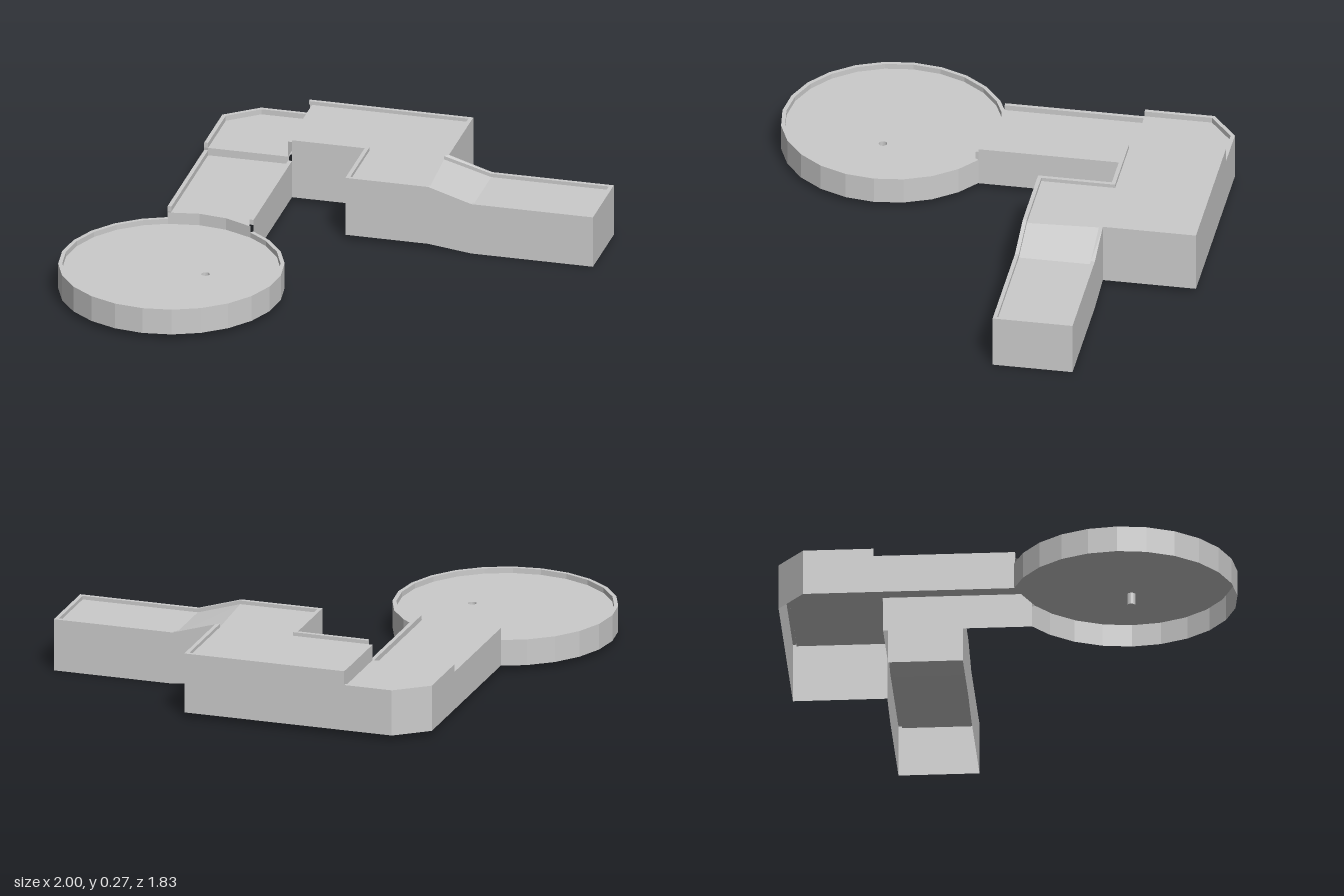
import * as THREE from 'three';

const WALL = 0.016;
const material = new THREE.MeshStandardMaterial({ color: 0xcccccc, flatShading: true, side: THREE.DoubleSide });

function surface(name, quads) {
  const pos = [];
  for (const [a, b, c, d] of quads) pos.push(...a, ...c, ...b, ...a, ...d, ...c);
  const geo = new THREE.BufferGeometry();
  geo.setAttribute('position', new THREE.Float32BufferAttribute(pos, 3));
  geo.computeVertexNormals();
  const mesh = new THREE.Mesh(geo, material);
  mesh.name = name;
  return mesh;
}

// Mitred inner edge of an [x, z] path, on the side facing the playing surface
function inset(path, t = WALL) {
  const normal = (a, b) => {
    const dx = b[0] - a[0], dz = b[1] - a[1], l = Math.hypot(dx, dz);
    return [-dz / l, dx / l];
  };
  return path.map((p, i) => {
    const n1 = i > 0 ? normal(path[i - 1], p) : normal(p, path[1]);
    const n2 = i < path.length - 1 ? normal(p, path[i + 1]) : n1;
    const k = t / (1 + n1[0] * n2[0] + n1[1] * n2[1]);
    return [p[0] + (n1[0] + n2[0]) * k, p[1] + (n1[1] + n2[1]) * k];
  });
}

// Outer skirt, rim and inner lip along a path; heights are functions of x
function border(name, path, bottom, top, floor) {
  const inner = inset(path);
  const rows = path.map((o, i) => {
    const q = inner[i], x = o[0];
    return [[x, bottom(x), o[1]], [x, top(x), o[1]], [q[0], top(x), q[1]], [q[0], floor(x), q[1]]];
  });
  const quads = [];
  for (let i = 0; i < rows.length - 1; i++)
    for (let k = 0; k < 3; k++)
      quads.push([rows[i][k], rows[i + 1][k], rows[i + 1][k + 1], rows[i][k + 1]]);
  // end caps
  [0, rows.length - 1].forEach((i) => {
    const [, o, q, f] = rows[i];
    quads.push([[o[0], f[1], o[2]], o, q, f]);
  });
  return surface(name, quads);
}

function floorPanel(name, points, height, hole) {
  const shape = new THREE.Shape(points.map(([x, z]) => new THREE.Vector2(x, -z)));
  if (hole) shape.holes.push(new THREE.Path().absarc(hole.x, -hole.z, hole.r, 0, Math.PI * 2, true));
  const geo = new THREE.ShapeGeometry(shape, 8);
  geo.rotateX(-Math.PI / 2);
  const p = geo.attributes.position;
  for (let i = 0; i < p.count; i++) p.setY(i, height(p.getX(i)));
  geo.computeVertexNormals();
  const mesh = new THREE.Mesh(geo, material);
  mesh.name = name;
  return mesh;
}

// Vertical step face between two floor levels
function riser(name, path, y0, y1) {
  const quads = [];
  for (let i = 0; i < path.length - 1; i++) {
    const [a, b] = [path[i], path[i + 1]];
    quads.push([[a[0], y0, a[1]], [b[0], y0, b[1]], [b[0], y1, b[1]], [a[0], y1, a[1]]]);
  }
  return surface(name, quads);
}

export function createModel() {
  const model = new THREE.Group();
  const level = (y) => () => y;
  const ramp = (a, b) => (x) => a + (b - a) * THREE.MathUtils.clamp((x - 0.32) / 0.18, 0, 1);
  const base = level(0.022);
  const GREEN = 0.108, LANE = 0.158, CORNER = 0.19, HIGH = 0.255;

  // Round green, open where the lane meets it
  const onCircle = (r) => (deg) => {
    const t = THREE.MathUtils.degToRad(deg);
    return [-0.553 + r * Math.cos(t), 0.462 + r * Math.sin(t)];
  };
  const rimAngles = [301.5];
  for (let a = 315; a <= 600; a += 15) rimAngles.push(a);
  rimAngles.push(613.2);
  const mouthAngles = [253.2, 270, 285, 301.5];
  const cup = { x: -0.408, z: 0.48, r: 0.017 };
  const mouth = mouthAngles.map(onCircle(0.434));
  model.add(border('greenRim', rimAngles.map(onCircle(0.45)), base, level(0.13), level(GREEN)));
  const greenEdge = [...inset(rimAngles.map(onCircle(0.45))), ...mouth.slice(1, -1)];
  model.add(floorPanel('greenFloor', greenEdge, level(GREEN), cup));
  model.add(riser('greenStep', mouth, GREEN, LANE));

  // Cup sunk into the green
  const cupMesh = new THREE.Mesh(new THREE.LatheGeometry([
    new THREE.Vector2(0, 0.06), new THREE.Vector2(cup.r, 0.06), new THREE.Vector2(cup.r, GREEN),
  ], 16), material);
  cupMesh.position.set(cup.x, 0, cup.z);
  cupMesh.name = 'cup';
  model.add(cupMesh);

  // Straight lane
  const L = -0.682, R = -0.317;
  model.add(border('laneRightWall', [[R, -0.515], [R, 0.078]], base, level(0.18), level(LANE)));
  model.add(border('laneLeftWall', [[L, 0.035], [L, -0.53]], base, level(0.18), level(LANE)));
  model.add(floorPanel('laneFloor', [
    [L + WALL, -0.53], ...mouth.map(([x, z], i) => [i === 0 ? L + WALL : i === 3 ? R - WALL : x, z]), [R - WALL, -0.53],
  ], level(LANE)));
  model.add(riser('laneStep', [[L + WALL, -0.53], [R - WALL, -0.53]], LANE, CORNER));

  // Corner with a cut edge
  const cornerPath = [[L, -0.53], [L, -0.81], [-0.55, -0.916], [-0.35, -0.916]];
  model.add(border('cornerWall', cornerPath, base, level(0.212), level(CORNER)));
  model.add(floorPanel('cornerFloor', [...inset(cornerPath), [R - WALL, -0.9], [R - WALL, -0.53]], level(CORNER)));
  model.add(riser('cornerStep', [[-0.337, -0.53], [-0.337, -0.9]], CORNER, HIGH));

  // Raised section, ramp and starting lane share one wall
  const highPath = [
    [-0.35, -0.916], [0.322, -0.916], [0.322, -0.54], [0.5, -0.54], [1, -0.54], [1, -0.217],
    [0.5, -0.217], [0.322, -0.217], [-0.018, -0.217], [-0.018, -0.515], [R, -0.515],
  ];
  const floor = ramp(HIGH, 0.2);
  model.add(border('upperWall', highPath, ramp(0.022, 0), ramp(0.27, 0.215), floor));
  const q = inset(highPath);
  const pick = (...ids) => ids.map((i) => q[i]);
  model.add(floorPanel('upperFloor', [[-0.337, -0.9], ...pick(1, 2, 7, 8, 9), [-0.337, -0.531]], floor));
  model.add(floorPanel('rampFloor', pick(2, 3, 6, 7), floor));
  model.add(floorPanel('startFloor', pick(3, 4, 5, 6), floor));

  return model;
}
